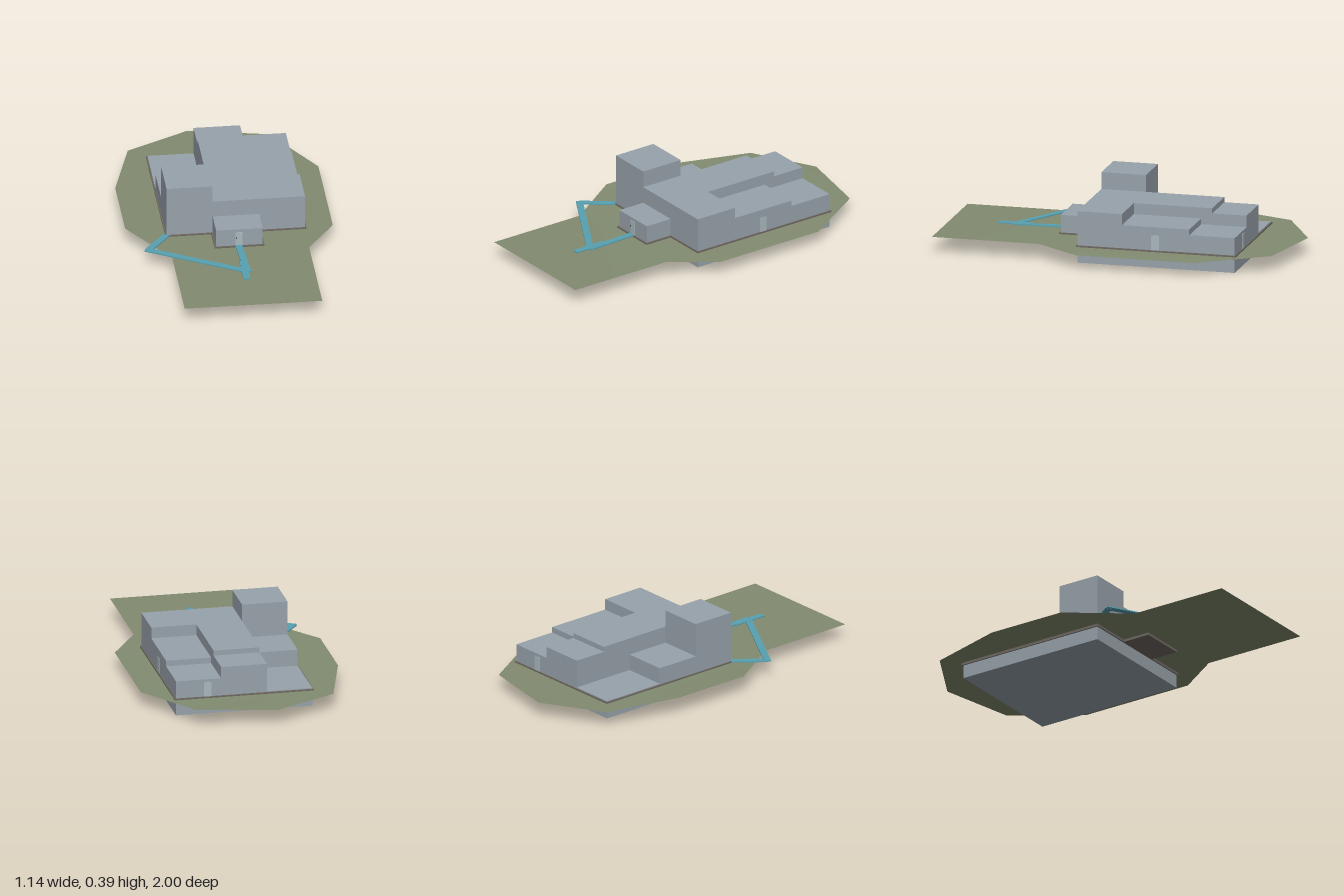
import * as THREE from 'three';

const mat = (name, color, side = THREE.FrontSide) => {
  const m = new THREE.MeshStandardMaterial({ color, side });
  m.name = name;
  return m;
};

export function createModel() {
  const group = new THREE.Group();
  const wall = mat('wallGrey', 0x98a2ab);
  const plinth = mat('plinthBrown', 0x6f6862);
  const grass = mat('grassGreen', 0x828c70, THREE.DoubleSide);
  const paving = mat('pavingTeal', 0x58a0b0);
  const door = mat('doorPaleGrey', 0xa9b8bd);
  const metal = mat('handleDark', 0x303030);

  // Box given by its limits on each axis
  const block = (name, m, x0, x1, y0, y1, z0, z1) => {
    const mesh = new THREE.Mesh(new THREE.BoxGeometry(x1 - x0, y1 - y0, z1 - z0), m);
    mesh.position.set((x0 + x1) / 2, (y0 + y1) / 2, (z0 + z1) / 2);
    mesh.name = name;
    group.add(mesh);
  };

  // Basement and the stepped volumes above it
  block('basement', wall, -0.352, 0.413, 0, 0.103, -0.72, 0.173);
  const volumes = [
    ['tower', -0.352, -0.097, 0.386, -0.08, 0.173],
    ['sideWing', -0.352, -0.097, 0.195, -0.34, -0.08],
    ['centralHall', -0.097, 0.16, 0.291, -0.525, 0.173],
    ['rearHall', -0.097, 0.16, 0.262, -0.72, -0.525],
    ['frontWing', 0.16, 0.413, 0.291, -0.08, 0.173],
    ['middleWing', 0.16, 0.413, 0.229, -0.462, -0.08],
    ['rearWing', 0.16, 0.413, 0.197, -0.72, -0.462],
  ];
  for (const [name, x0, x1, top, z0, z1] of volumes) block(name, wall, x0, x1, 0.103, top, z0, z1);
  block('porch', wall, -0.097, 0.16, 0.08, 0.197, 0.173, 0.335);

  // Plinth bands around the foot of the walls
  block('plinth', plinth, -0.359, 0.42, 0.076, 0.098, -0.727, 0.18);
  block('porchPlinth', plinth, -0.106, 0.169, 0.076, 0.098, 0.17, 0.343);

  // Doors on the front, side and back
  block('frontDoor', door, 0.01, 0.049, 0.098, 0.18, 0.334, 0.338);
  block('doorHandle', metal, 0.013, 0.018, 0.143, 0.149, 0.337, 0.342);
  block('sideDoor', door, 0.412, 0.416, 0.098, 0.182, -0.29, -0.247);
  block('backDoor', door, 0.215, 0.257, 0.098, 0.18, -0.723, -0.719);

  // Lawn around the building: shape y becomes -z, edges tilt gently
  const points = list => list.map(([x, z]) => new THREE.Vector2(x, -z));
  const outline = new THREE.Shape(points([
    [-0.1, -1], [0.34, -0.91], [0.57, -0.53], [0.57, 0.14], [0.41, 0.39], [0.41, 1],
    [-0.35, 1], [-0.35, 0.42], [-0.57, 0.08], [-0.57, -0.38], [-0.45, -0.81],
  ]));
  outline.holes.push(new THREE.Path(points([[-0.35, -0.718], [0.411, -0.718], [0.411, 0.171], [-0.35, 0.171]])));
  const lawnGeo = new THREE.ShapeGeometry(outline).rotateX(-Math.PI / 2);
  const p = lawnGeo.attributes.position;
  for (let i = 0; i < p.count; i++) {
    const x = p.getX(i);
    const out = Math.max(0, Math.abs(x) - 0.42) / 0.15;
    p.setY(i, 0.09 + out * (x < 0 ? 0.012 : -0.008));
  }
  lawnGeo.computeVertexNormals();
  const lawn = new THREE.Mesh(lawnGeo, grass);
  lawn.name = 'lawn';
  group.add(lawn);

  // Footpaths: flat strips between ground points, each a little higher to avoid overlap
  const paths = [
    [-0.352, 0.175, -0.475, 0.335],
    [-0.485, 0.325, 0.05, 0.637],
    [0.027, 0.34, 0.042, 0.64],
    [0.027, 0.52, 0.027, 0.725],
  ];
  paths.forEach(([x0, z0, x1, z1], i) => {
    const strip = new THREE.Mesh(
      new THREE.BoxGeometry(Math.hypot(x1 - x0, z1 - z0), 0.006, 0.038), paving);
    strip.position.set((x0 + x1) / 2, 0.098 + i * 0.0006, (z0 + z1) / 2);
    strip.rotation.y = -Math.atan2(z1 - z0, x1 - x0);
    strip.name = 'footpath';
    group.add(strip);
  });

  return group;
}
